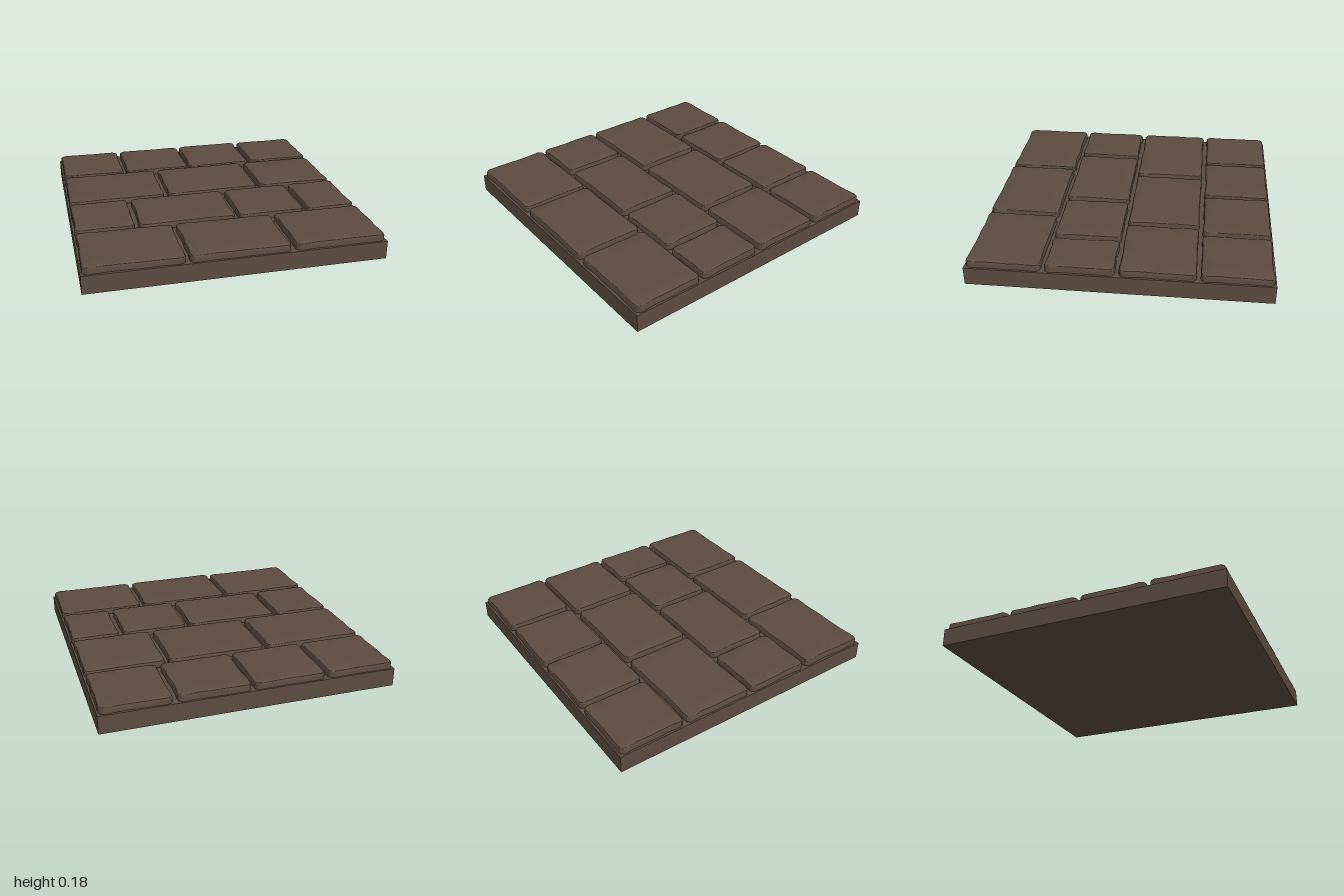
import * as THREE from 'three';
import { toCreasedNormals } from 'three/addons/utils/BufferGeometryUtils.js';

const SLAB_TOP = 0.125;

// small seeded generator for hand-cut irregularity, returns 0..1
function makeRandom(seed) {
  let s = seed;
  return () => (s = (s * 16807) % 2147483647) / 2147483647;
}

// rounded rectangle outline, counter-clockwise from above, with slightly uneven edges
function stoneOutline(hw, hd, rand) {
  const points = [];
  const r = 0.035, arcSteps = 3, edgeSteps = 5;
  const signs = [[1, -1], [-1, -1], [-1, 1], [1, 1]];
  signs.forEach(([sx, sz], i) => {
    const [nx, nz] = signs[(i + 1) % 4];
    const cx = sx * (hw - r), cz = sz * (hd - r);
    for (let k = 0; k <= arcSteps; k++) {
      const a = (i + k / arcSteps) * Math.PI / 2;
      points.push([cx + r * Math.cos(a), cz - r * Math.sin(a)]);
    }
    // points along the edge to the next corner, pushed inward a little
    const a = (i + 1) * Math.PI / 2;
    const ex = nx * (hw - r), ez = nz * (hd - r);
    for (let k = 1; k < edgeSteps; k++) {
      const t = k / edgeSteps, d = r - rand() * 0.008;
      points.push([cx + (ex - cx) * t + d * Math.cos(a), cz + (ez - cz) * t - d * Math.sin(a)]);
    }
  });
  return points;
}

// stone built from stacked rings: upright wall, soft bevel, gently uneven top
function stoneGeometry(width, depth, rand) {
  const hw = width / 2, hd = depth / 2;
  const outline = stoneOutline(hw, hd, rand);
  const n = outline.length;
  const tiltX = (rand() - 0.5) * 0.004, tiltZ = (rand() - 0.5) * 0.004;
  const rings = [[0, -0.005], [0, 0.036], [0.004, 0.044], [0.013, 0.049], [0.1, 0.05]];
  const positions = [], index = [];
  rings.forEach(([inset, y], j) => {
    for (const [x, z] of outline) {
      const tilt = j > 0 ? (x / hw) * tiltX + (z / hd) * tiltZ : 0;
      const bump = j === 4 ? (rand() - 0.5) * 0.001 : 0;
      positions.push(x * (1 - inset / hw), y + tilt + bump, z * (1 - inset / hd));
    }
  });
  positions.push(0, 0.0505, 0);
  const last = rings.length - 1, centre = rings.length * n;
  for (let i = 0; i < n; i++) {
    const k = (i + 1) % n;
    for (let j = 0; j < last; j++) {
      const a = j * n + i, b = j * n + k;
      index.push(a, b, b + n, a, b + n, a + n);
    }
    index.push(centre, last * n + i, last * n + k);
  }
  const geometry = new THREE.BufferGeometry();
  geometry.setAttribute('position', new THREE.Float32BufferAttribute(positions, 3));
  geometry.setIndex(index);
  return toCreasedNormals(geometry, 0.5);
}

export function createModel() {
  const model = new THREE.Group();
  model.name = 'stoneFloorTile';
  const stone = new THREE.MeshStandardMaterial({ color: 0x5c4b40 });
  stone.name = 'brownStone';

  // base slab
  const slab = new THREE.Mesh(new THREE.BoxGeometry(2, SLAB_TOP, 2), stone);
  slab.name = 'baseSlab';
  slab.position.y = SLAB_TOP / 2;
  model.add(slab);

  // rows of paving stones: depth span, then the width span of each stone
  const rows = [
    { z: [-0.99, -0.525], x: [[-0.99, -0.525], [-0.5, -0.01], [0.01, 0.495], [0.525, 0.99]] },
    { z: [-0.5, -0.005], x: [[-0.99, -0.295], [-0.265, 0.415], [0.445, 0.99]] },
    { z: [0.02, 0.475], x: [[-0.99, -0.585], [-0.555, 0.115], [0.145, 0.615], [0.645, 0.99]] },
    { z: [0.5, 0.988], x: [[-0.99, -0.345], [-0.32, 0.345], [0.375, 0.99]] },
  ];
  const rand = makeRandom(4217);
  rows.forEach(({ z: [z0, z1], x }, r) => {
    const row = new THREE.Group();
    row.name = `pavingRow${r + 1}`;
    x.forEach(([x0, x1], i) => {
      const paver = new THREE.Mesh(stoneGeometry(x1 - x0, z1 - z0, rand), stone);
      paver.name = `pavingStone${r + 1}_${i + 1}`;
      paver.position.set((x0 + x1) / 2, SLAB_TOP, (z0 + z1) / 2);
      row.add(paver);
    });
    model.add(row);
  });
  return model;
}
